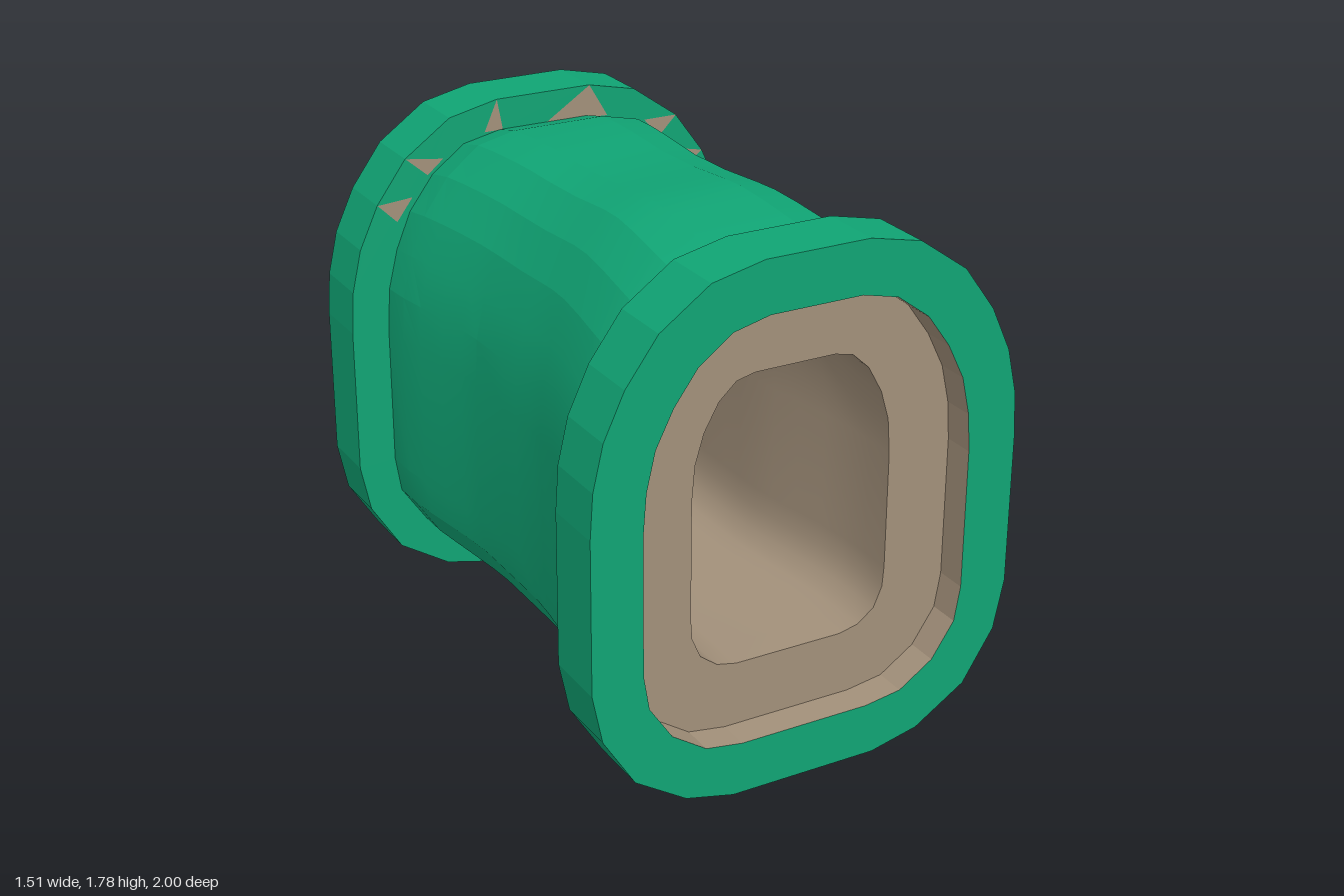
import * as THREE from 'three';
import { toCreasedNormals } from 'three/addons/utils/BufferGeometryUtils.js';

// Mirrors a right-hand half profile (bottom to top) into a closed outline
const outline = half => [...half, ...half.map(([x, y]) => [-x, y]).reverse()];

const FLANGE = outline([[0.26, 0], [0.43, 0.04], [0.61, 0.155], [0.72, 0.33], [0.755, 0.5], [0.755, 1.02],
  [0.745, 1.17], [0.71, 1.32], [0.64, 1.47], [0.53, 1.62], [0.36, 1.74], [0.18, 1.78]]);
const RECESS = outline([[0.23, 0.18], [0.36, 0.2], [0.48, 0.28], [0.56, 0.4], [0.58, 0.52], [0.58, 1],
  [0.57, 1.13], [0.54, 1.26], [0.48, 1.38], [0.4, 1.49], [0.285, 1.575], [0.16, 1.605]]);
const BODY = outline([[0.24, 0.13], [0.37, 0.15], [0.51, 0.245], [0.6, 0.38], [0.62, 0.51], [0.62, 1.01],
  [0.61, 1.16], [0.575, 1.3], [0.52, 1.43], [0.43, 1.55], [0.31, 1.64], [0.17, 1.67]]);
const BORE = outline([[0.19, 0.4], [0.26, 0.415], [0.32, 0.46], [0.35, 0.53], [0.355, 0.6], [0.355, 1],
  [0.345, 1.12], [0.315, 1.22], [0.265, 1.31], [0.205, 1.365], [0.14, 1.38]]);

// Stations along the tube: z, half width, top height
const STATIONS = [[-0.78, 0.62, 1.67], [-0.66, 0.618, 1.7], [-0.55, 0.602, 1.707], [-0.42, 0.582, 1.71],
  [-0.3, 0.565, 1.709], [-0.2, 0.556, 1.706], [0, 0.555, 1.713], [0.1, 0.555, 1.722], [0.2, 0.556, 1.731],
  [0.3, 0.565, 1.735], [0.42, 0.582, 1.727], [0.55, 0.602, 1.713], [0.66, 0.618, 1.7], [0.78, 0.62, 1.67]];

// Skin over rings of 3D points; ascending z faces outward, descending z faces inward
function loft(rings, crease) {
  const n = rings[0].length, index = [];
  for (let i = 0; i < rings.length - 1; i++) {
    for (let j = 0; j < n; j++) {
      const k = (j + 1) % n, a = i * n + j, b = i * n + k;
      index.push(a, b, b + n, a, b + n, a + n);
    }
  }
  const geo = new THREE.BufferGeometry();
  geo.setAttribute('position', new THREE.Float32BufferAttribute(rings.flat(2), 3));
  geo.setIndex(index);
  return toCreasedNormals(geo, crease);
}

const ringAt = (pts, z) => pts.map(([x, y]) => [x, y, z]);

// Flat ring between two outlines, facing +z or -z
function face(outer, inner, z, back = false) {
  const vec = pts => pts.map(([x, y]) => new THREE.Vector2(x, y));
  const shape = new THREE.Shape(vec(outer));
  shape.holes.push(new THREE.Path(vec(inner)));
  const geo = new THREE.ShapeGeometry(shape);
  if (back) geo.rotateY(Math.PI);
  return geo.translate(0, 0, z);
}

export function createModel() {
  const model = new THREE.Group();
  model.name = 'pipe';
  const green = new THREE.MeshStandardMaterial({ color: 0x10a474 });
  green.name = 'green';
  const tan = new THREE.MeshStandardMaterial({ color: 0xa2907a });
  tan.name = 'tan';

  const add = (parent, name, geo, mat) => {
    const mesh = new THREE.Mesh(geo, mat);
    mesh.name = name;
    parent.add(mesh);
  };

  // Waisted outer tube: narrows in the middle, top gently waves
  const bodyRings = STATIONS.map(([z, w, top]) => BODY.map(([x, y]) =>
    [x * w / 0.62, y > 1.02 ? 1.02 + (y - 1.02) * (top - 1.02) / 0.65 : y, z]));
  add(model, 'outerTube', loft(bodyRings, 0.17), green);

  // Inner bore, following the same waist
  const boreRings = STATIONS.map(([z, w, top]) => BORE.map(([x, y]) =>
    [x * (w - 0.262) / 0.358, y > 1 ? 1 + (y - 1) * (top - 1.29) / 0.38 : y, z]));
  boreRings.unshift(ringAt(BORE, -0.89));
  boreRings.push(ringAt(BORE, 0.89));
  add(model, 'bore', loft(boreRings.reverse(), 0.7), tan);

  // Flared collar with a recessed mouth at each end
  for (const side of ['front', 'back']) {
    const collar = new THREE.Group();
    collar.name = side + 'Collar';
    if (side === 'back') collar.rotation.y = Math.PI;
    add(collar, 'collarRim', loft([ringAt(FLANGE, 0.78), ringAt(FLANGE, 1)], 0.05), green);
    add(collar, 'collarFace', face(FLANGE, RECESS, 1), green);
    add(collar, 'collarShoulder', face(FLANGE, BODY, 0.78, true), green);
    add(collar, 'recessWall', loft([ringAt(RECESS, 1), ringAt(RECESS, 0.89)], 0.05), tan);
    add(collar, 'recessFloor', face(RECESS, BORE, 0.89), tan);

    // Small tan chips on the shoulder
    const chips = [[[0.01, 1.67], [0.25, 1.66], [0.18, 1.78]], [[0.4, 1.62], [0.46, 1.55], [0.53, 1.62]],
      [[0.5, 1.5], [0.57, 1.42], [0.64, 1.47]], [[-0.23, 1.67], [-0.16, 1.67], [-0.18, 1.78]],
      [[-0.53, 1.62], [-0.45, 1.55], [-0.39, 1.6]], [[-0.64, 1.47], [-0.57, 1.4], [-0.51, 1.48]]];
    for (const chip of chips) {
      const s = side === 'back' ? -1 : 1;
      const shape = new THREE.Shape(chip.map(([x, y]) => new THREE.Vector2(x * s, y)));
      add(collar, 'shoulderChip', new THREE.ShapeGeometry(shape).scale(-1, 1, 1).rotateY(Math.PI)
        .translate(0, 0, 0.777), tan);
    }
    model.add(collar);
  }
  // Chips are single faces, so show both sides
  model.traverse(o => {
    if (o.name === 'shoulderChip') o.geometry = faceBackward(o.geometry);
  });
  return model;
}

// Turns a flat plate so that it faces -z
function faceBackward(geo) {
  const flat = geo.toNonIndexed(), p = flat.attributes.position;
  const a = new THREE.Vector3().fromBufferAttribute(p, 0), b = new THREE.Vector3().fromBufferAttribute(p, 1);
  const c = new THREE.Vector3().fromBufferAttribute(p, 2);
  if (b.clone().sub(a).cross(c.clone().sub(a)).z > 0) {
    p.setXYZ(1, c.x, c.y, c.z);
    p.setXYZ(2, b.x, b.y, b.z);
  }
  flat.computeVertexNormals();
  return flat;
}
